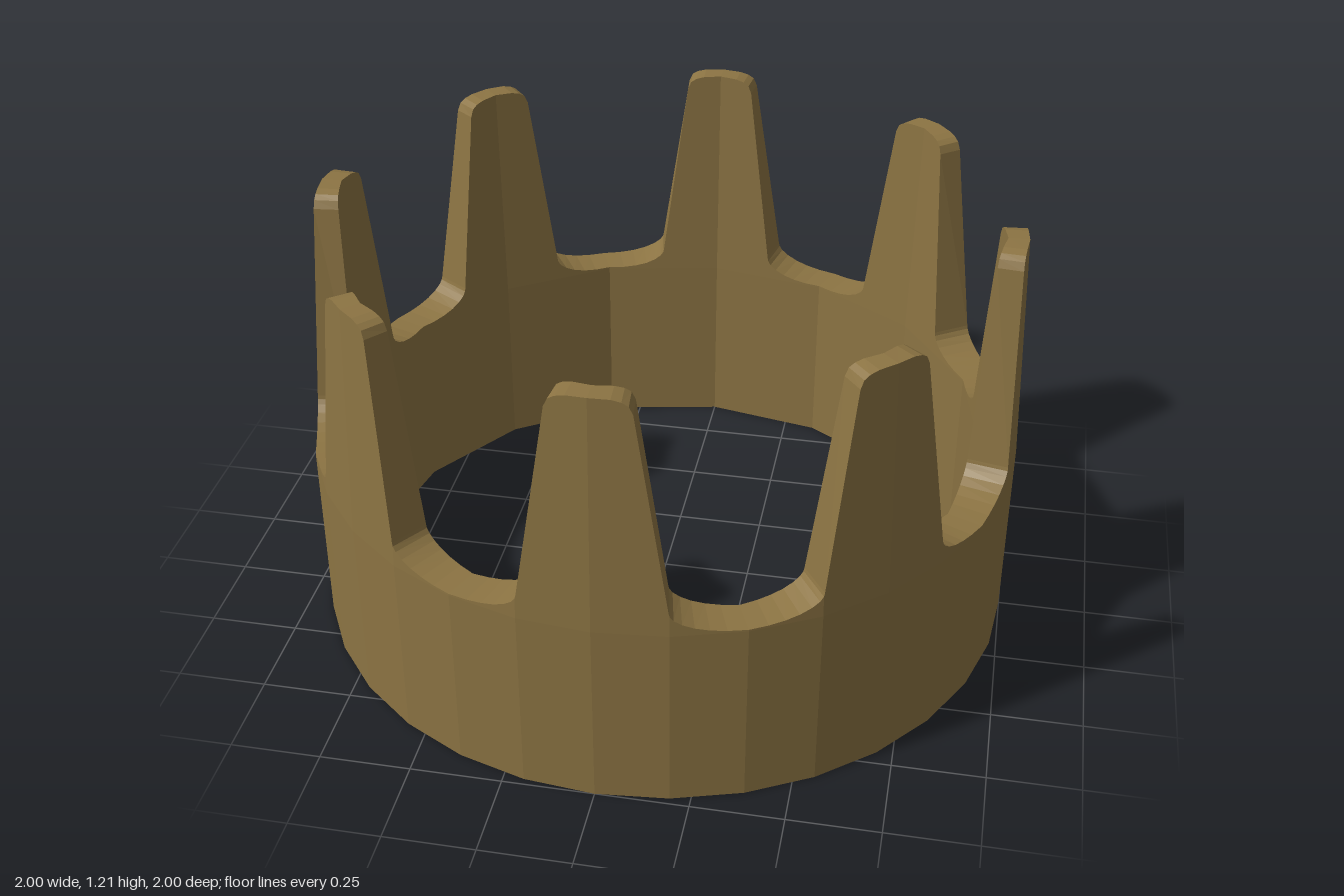
import * as THREE from 'three';

const RAD = Math.PI / 180;
const PRONGS = 8, HEIGHT = 1.2, BAND = 0.54;

// Upper edge from prong centre to valley centre: [degrees, height]
const HALF_EDGE = [
  [0, 1.205], [3.2, 1.203], [4.7, 1.197], [5.7, 1.187], [6.3, 1.165],
  [11.1, 0.61], [11.25, 0.6], [11.8, 0.587], [13, 0.573], [14.8, 0.56],
  [17, 0.551], [19.5, 0.546], [22.5, 0.545],
];

// Distance to the side of a regular polygon at a given angle
function polygonRadius(r, sides, deg) {
  const step = 360 / sides;
  const local = ((deg % step) + step) % step - step / 2;
  return r * Math.cos(step / 2 * RAD) / Math.cos(local * RAD);
}

// Closed wall section at one angle: up the outside, across, down the inside
function section(deg, top) {
  const t = (top - BAND) / (HEIGHT - BAND);
  const outer = polygonRadius(1, 32, deg);
  const inner = polygonRadius(0.9, 16, deg);
  const outerTop = outer * (1 - 0.027 * t);
  const innerTop = inner * (1 + 0.018 * t);
  return [
    [outer, 0], [outer, BAND], [outerTop, top],
    [innerTop, top], [inner, BAND], [inner, 0],
  ].map(([r, y]) => [r * Math.sin(deg * RAD), y, r * Math.cos(deg * RAD)]);
}

function crownGeometry() {
  // Mirror the half edge, then repeat it for every prong
  const left = HALF_EDGE.slice(1, -1).reverse().map(([a, y]) => [-a, y]);
  const period = [...left, ...HALF_EDGE];
  const sections = [];
  for (let p = 0; p < PRONGS; p++) {
    for (const [a, y] of period) sections.push(section(p * 360 / PRONGS + a, y));
  }

  // Join neighbouring sections all the way round
  const positions = [];
  const n = sections.length;
  for (let i = 0; i < n; i++) {
    const s = sections[i], e = sections[(i + 1) % n];
    for (let j = 0; j < s.length; j++) {
      const k = (j + 1) % s.length;
      positions.push(...s[j], ...e[j], ...e[k], ...s[j], ...e[k], ...s[k]);
    }
  }
  const geometry = new THREE.BufferGeometry();
  geometry.setAttribute('position', new THREE.Float32BufferAttribute(positions, 3));
  geometry.computeVertexNormals();
  return geometry;
}

export function createModel() {
  const group = new THREE.Group();
  group.name = 'crown';
  const material = new THREE.MeshStandardMaterial({ color: 0x8c7443, flatShading: true });
  const ring = new THREE.Mesh(crownGeometry(), material);
  ring.name = 'prongedRing';
  group.add(ring);
  return group;
}
